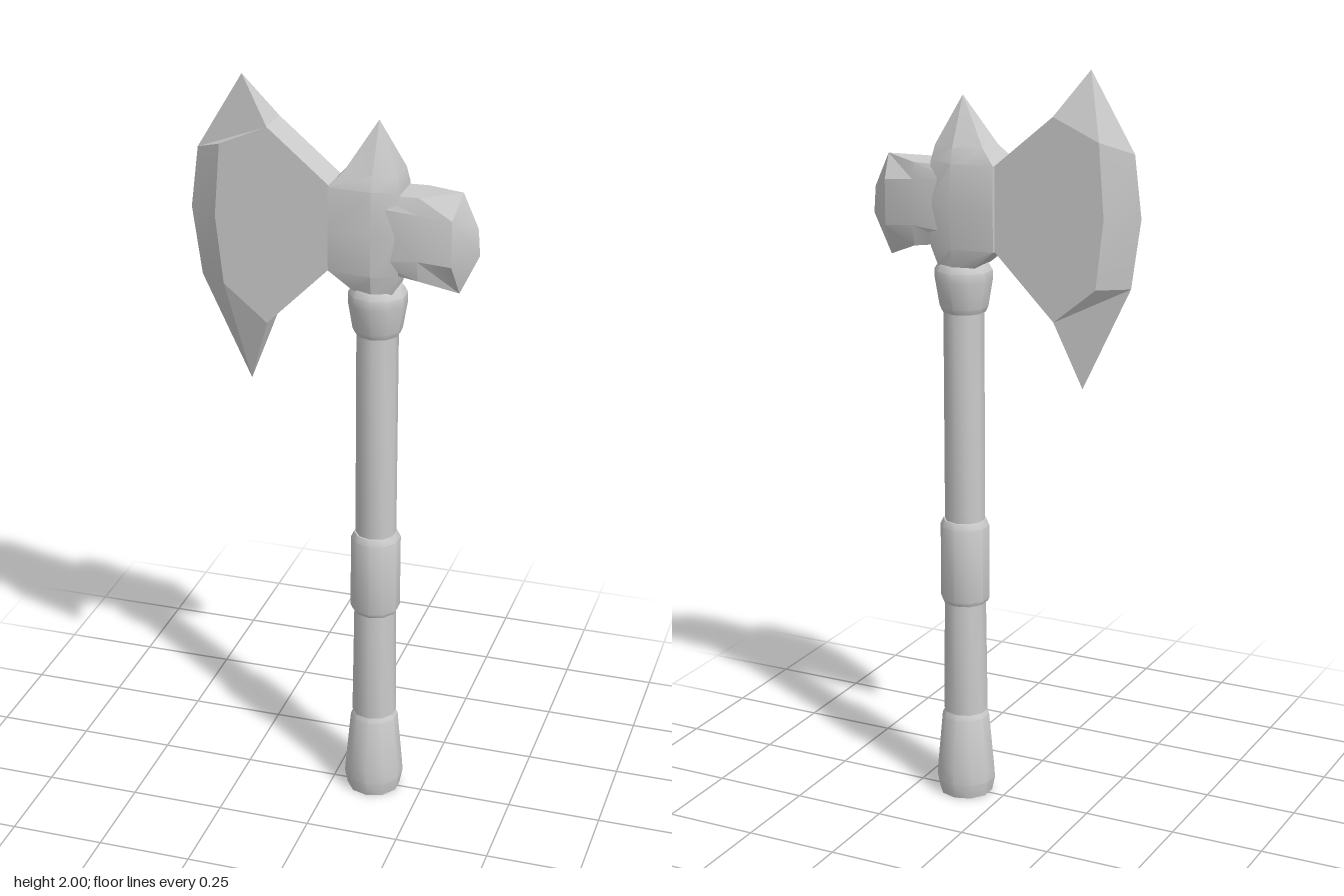
import * as THREE from 'three';
import { toCreasedNormals } from 'three/addons/utils/BufferGeometryUtils.js';

const AXIS_X = 0.114; // handle axis

// Collects triangles, skipping collapsed ones
function surface() {
  const pos = [];
  const tri = (a, b, c) => {
    const [A, B, C] = [a, b, c].map((p) => new THREE.Vector3(...p));
    if (B.clone().sub(A).cross(C.clone().sub(A)).length() < 1e-8) return;
    pos.push(...a, ...b, ...c);
  };
  return {
    fan(pts) {
      for (let i = 1; i < pts.length - 1; i++) tri(pts[0], pts[i], pts[i + 1]);
    },
    loft(rings, closed) {
      for (let i = 0; i < rings.length - 1; i++) {
        const r = rings[i], s = rings[i + 1], n = r.length;
        for (let j = 0; j < (closed ? n : n - 1); j++) {
          const k = (j + 1) % n;
          tri(r[j], r[k], s[k]);
          tri(r[j], s[k], s[j]);
        }
      }
    },
    geometry() {
      const g = new THREE.BufferGeometry();
      g.setAttribute('position', new THREE.Float32BufferAttribute(pos, 3));
      return g;
    },
  };
}

const flipZ = ([x, y, z]) => [x, y, -z];

// Closed loft through half rings mirrored in z, capped at the start
function mirroredLoft(halfRings) {
  const rings = halfRings.map((h) => [...h, ...h.map(flipZ).reverse()]);
  const s = surface();
  s.loft(rings, true);
  s.fan([...rings[0]].reverse());
  return s.geometry();
}

export function createModel() {
  const model = new THREE.Group();
  model.name = 'battleAxe';
  const material = new THREE.MeshStandardMaterial({ color: 0xcccccc });

  const add = (name, geometry, crease) => {
    const mesh = new THREE.Mesh(toCreasedNormals(geometry, crease), material);
    mesh.name = name;
    model.add(mesh);
    return mesh;
  };

  // Handle pieces: [radius, height] profiles turned around the axis
  const handle = {
    pommel: [[0, 0], [0.072, 0], [0.08, 0.04], [0.077, 0.08], [0.064, 0.225], [0.052, 0.247], [0, 0.247]],
    lowerGrip: [[0, 0.235], [0.06, 0.24], [0.056, 0.56], [0, 0.56]],
    gripBand: [[0, 0.555], [0.061, 0.555], [0.066, 0.566], [0.066, 0.77], [0.058, 0.787], [0, 0.787]],
    shaft: [[0.054, 0.78], [0.054, 1.37]],
    collar: [[0, 1.355], [0.058, 1.355], [0.064, 1.368], [0.076, 1.44], [0.076, 1.465], [0.066, 1.482], [0, 1.49]],
  };
  for (const [name, profile] of Object.entries(handle)) {
    const pts = profile.map(([r, y]) => new THREE.Vector2(r, y));
    add(name, new THREE.LatheGeometry(pts, 10), 0.65).position.x = AXIS_X;
  }

  // Head core with top spike: y, left x/z, middle z, right x/z
  const core = [
    [1.48, 0.06, 0.045, 0.065, 0.165, 0.045],
    [1.53, 0, 0.058, 0.073, 0.18, 0.055],
    [1.64, 0, 0.062, 0.075, 0.183, 0.06],
    [1.75, 0, 0.06, 0.071, 0.18, 0.052],
    [1.79, 0.037, 0.042, 0.06, 0.174, 0.038],
    [1.915, AXIS_X, 0, 0, AXIS_X, 0],
  ].map(([y, xl, zl, zm, xr, zr]) => [[xl, y, zl], [AXIS_X, y, zm], [xr, y, zr]]);
  add('headCore', mirroredLoft(core), 0.5);

  // Hammer side, closing to an upright ridge
  add('hammer', mirroredLoft([
    [[0.12, 1.74, 0.05], [0.12, 1.71, 0.063], [0.12, 1.57, 0.063], [0.12, 1.54, 0.045]],
    [[0.23, 1.742, 0.05], [0.23, 1.7, 0.061], [0.23, 1.58, 0.061], [0.23, 1.525, 0.05]],
    [[0.33, 1.75, 0], [0.315, 1.69, 0.05], [0.315, 1.57, 0.05], [0.325, 1.485, 0]],
    [[0.33, 1.75, 0], [0.37, 1.66, 0], [0.375, 1.59, 0], [0.325, 1.485, 0]],
  ]), 0.4);

  // Blade: each row pairs a cheek corner with its point on the cutting rim
  const T = 0.05;
  const rows = [
    [0, 1.75, 0, 1.75],
    [-0.16, 1.885, -0.16, 1.885],
    [-0.16, 1.885, -0.24, 2],
    [-0.285, 1.83, -0.36, 1.8],
    [-0.3, 1.64, -0.38, 1.64],
    [-0.28, 1.46, -0.355, 1.46],
    [-0.165, 1.365, -0.225, 1.185],
    [-0.165, 1.365, -0.165, 1.365],
    [0, 1.53, 0, 1.53],
  ];
  const blade = surface();
  blade.loft(rows.map(([x, y, ex, ey]) => [[x, y, T], [ex, ey, 0], [x, y, -T]]), false);
  const cheek = rows.map(([x, y]) => [x, y, T]);
  blade.fan(cheek);
  blade.fan(cheek.map(flipZ).reverse());
  add('blade', blade.geometry(), 0.2);

  return model;
}
